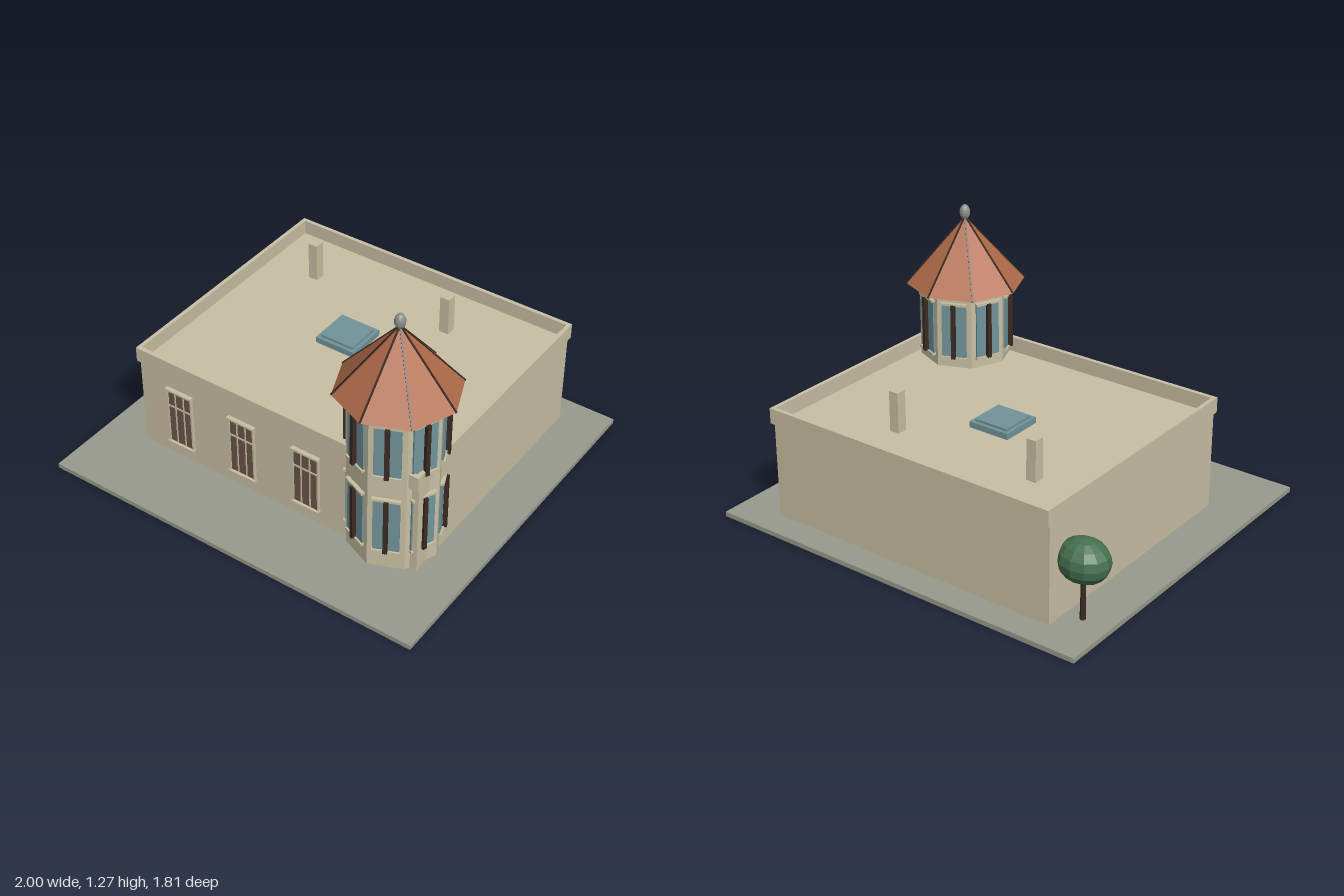
import * as THREE from 'three';

const mat = (name, color) => {
  const m = new THREE.MeshStandardMaterial({ color, flatShading: true });
  m.name = name;
  return m;
};

export function createModel() {
  const M = {
    stone: mat('sandstone', 0xc9c0a4),
    ground: mat('paving grey', 0x989a8c),
    tile: mat('terracotta', 0xb06b49),
    glass: mat('blue glass', 0x71949a),
    dark: mat('dark wood', 0x3b2a22),
    pane: mat('brown pane', 0x6a5448),
    leaf: mat('leaf green', 0x46704f),
    metal: mat('finial grey', 0x8c908a),
  };
  const model = new THREE.Group();
  model.name = 'house';

  const add = (parent, name, geo, material, x = 0, y = 0, z = 0) => {
    const mesh = new THREE.Mesh(geo, material);
    mesh.name = name;
    mesh.position.set(x, y, z);
    parent.add(mesh);
    return mesh;
  };
  // Box given by its centre in x and z and by its bottom and top heights
  const box = (parent, name, material, w, d, y0, y1, x, z) =>
    add(parent, name, new THREE.BoxGeometry(w, y1 - y0, d), material, x, (y0 + y1) / 2, z);
  const group = (name, parent = model) => {
    const g = new THREE.Group();
    g.name = name;
    parent.add(g);
    return g;
  };

  // Ground slab and main block
  const BASE = 0.024, ROOF = 0.51, WALL_Z = 0.517;
  box(model, 'groundSlab', M.ground, 2, 1.81, 0, BASE, 0, 0);
  box(model, 'mainWalls', M.stone, 1.552, WALL_Z + 0.768, BASE, ROOF, 0, (WALL_Z - 0.768) / 2);

  // Parapet ring around the flat roof
  const rect = (S, x0, z0, x1, z1) => {
    const s = new S();
    s.moveTo(x0, z0);
    s.lineTo(x1, z0);
    s.lineTo(x1, z1);
    s.lineTo(x0, z1);
    s.closePath();
    return s;
  };
  const ring = rect(THREE.Shape, -0.782, -0.535, 0.782, 0.788);
  ring.holes.push(rect(THREE.Path, -0.762, -0.513, 0.762, 0.768));
  const ringGeo = new THREE.ExtrudeGeometry(ring, { depth: 0.077, bevelEnabled: false });
  ringGeo.rotateX(-Math.PI / 2);
  add(model, 'parapet', ringGeo, M.stone, 0, 0.508, 0);

  // Chimneys and skylight
  for (const x of [-0.495, 0.27]) box(model, 'chimney', M.stone, 0.05, 0.052, ROOF, 0.71, x, -0.493);
  box(model, 'skylightBase', M.glass, 0.215, 0.215, ROOF, 0.54, -0.075, -0.167);
  box(model, 'skylightTop', M.glass, 0.18, 0.18, 0.54, 0.552, -0.075, -0.167);

  // Front windows with glazing bars, lintel and sill
  for (const x of [-0.545, -0.182, 0.18]) {
    const w = group('frontWindow');
    w.position.set(x, 0, WALL_Z);
    box(w, 'pane', M.pane, 0.134, 0.008, 0.1, 0.415, 0, 0.004);
    for (const s of [-1, 1]) {
      box(w, 'jamb', M.stone, 0.008, 0.014, 0.1, 0.415, s * 0.069, 0.007);
      box(w, 'glazingBar', M.stone, 0.006, 0.012, 0.1, 0.415, s * 0.024, 0.006);
    }
    box(w, 'transom', M.stone, 0.134, 0.012, 0.314, 0.322, 0, 0.006);
    box(w, 'lintel', M.stone, 0.152, 0.022, 0.41, 0.42, 0, 0.011);
    box(w, 'sill', M.stone, 0.152, 0.022, 0.093, 0.104, 0, 0.011);
  }

  // Octagonal corner tower
  const R = 0.224, EAVES = 0.885, APEX = 1.215;
  const tower = group('tower');
  tower.position.set(0.572, 0, 0.384);
  add(tower, 'towerWalls', new THREE.CylinderGeometry(R, R, EAVES - BASE, 8), M.stone, 0, (EAVES + BASE) / 2, 0);
  const apothem = R * Math.cos(Math.PI / 8);
  for (let i = 0; i < 8; i++) {
    const side = group('towerSide', tower);
    side.rotation.y = (i + 0.5) * Math.PI / 4;
    for (const [y0, y1] of [[0.128, 0.428], [0.562, 0.84]]) {
      box(side, 'glass', M.glass, 0.122, 0.009, y0, y1, 0, apothem + 0.0045);
      box(side, 'mullion', M.dark, 0.02, 0.03, y0, y1, 0, apothem + 0.015);
      box(side, 'sill', M.stone, 0.13, 0.018, y0 - 0.007, y0 + 0.005, 0, apothem + 0.009);
      box(side, 'lintel', M.stone, 0.13, 0.018, y1 - 0.005, y1 + 0.007, 0, apothem + 0.009);
    }
  }

  // Pyramid roof with a thin rib on each hip, and finial
  const RR = 0.29;
  add(tower, 'towerRoof', new THREE.ConeGeometry(RR, APEX - EAVES, 8), M.tile, 0, (APEX + EAVES) / 2, 0);
  const slope = Math.hypot(RR, APEX - EAVES);
  for (let i = 0; i < 8; i++) {
    const hip = group('roofHip', tower);
    hip.rotation.y = i * Math.PI / 4;
    const rib = add(hip, 'roofRib', new THREE.BoxGeometry(0.008, slope, 0.008), M.dark, 0, (APEX + EAVES) / 2, RR / 2 - 0.001);
    rib.rotation.x = -Math.atan2(RR, APEX - EAVES);
  }
  add(tower, 'finial', new THREE.SphereGeometry(1, 10, 8), M.metal, 0, 1.237, 0).scale.set(0.026, 0.038, 0.026);

  // Tree beside the back corner
  const tree = group('tree');
  tree.position.set(-0.86, 0, -0.64);
  add(tree, 'trunk', new THREE.CylinderGeometry(0.011, 0.014, 0.22, 8), M.dark, 0, BASE + 0.11, 0);
  add(tree, 'foliage', new THREE.SphereGeometry(1, 12, 8), M.leaf, 0, 0.312, 0).scale.set(0.126, 0.103, 0.105);

  return model;
}
